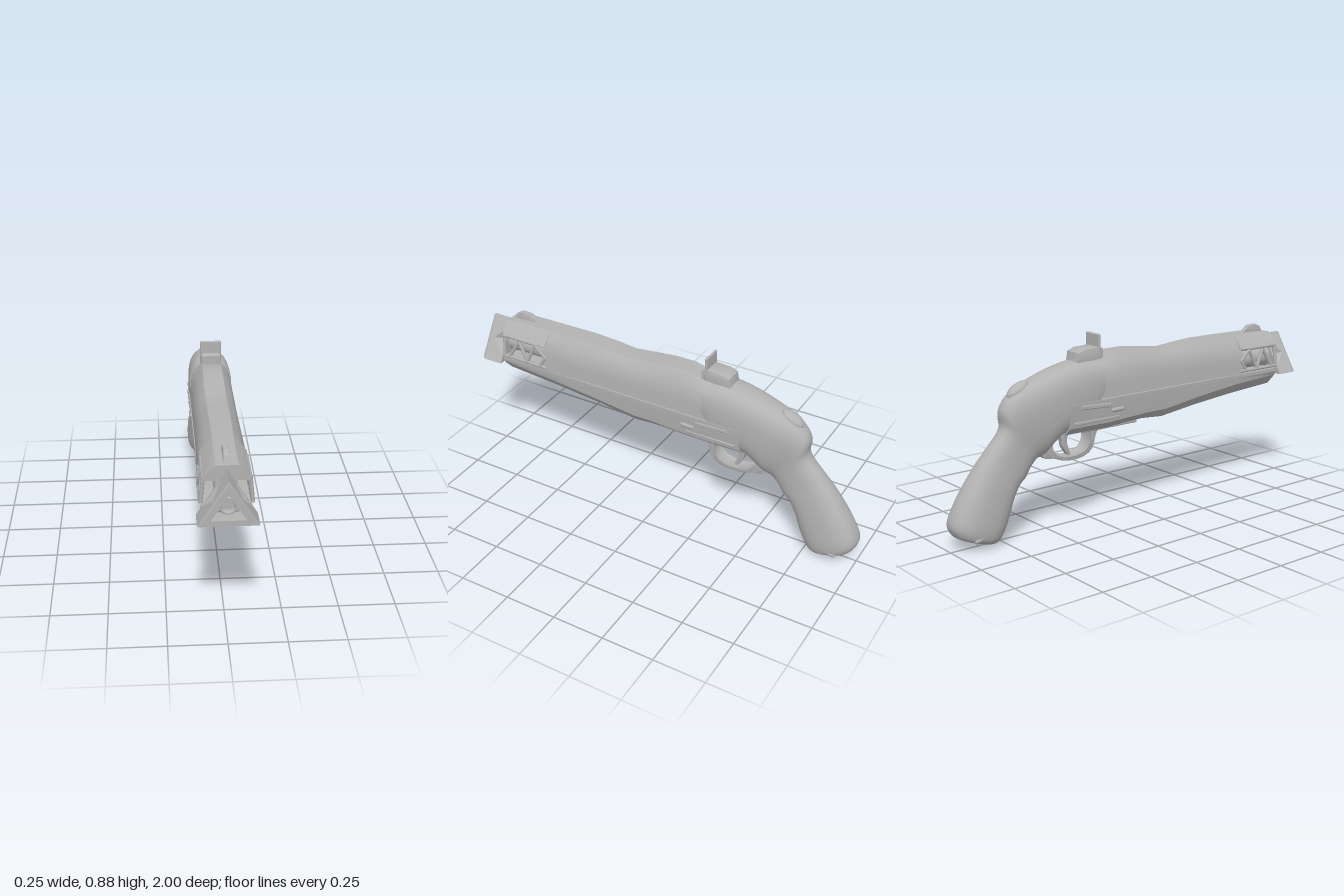
import * as THREE from 'three';
import { toCreasedNormals } from 'three/addons/utils/BufferGeometryUtils.js';
import { RoundedBoxGeometry } from 'three/addons/geometries/RoundedBoxGeometry.js';

const V = (x, y, z) => new THREE.Vector3(x, y, z);

// skins equal-length rings that run from front to back, each counter-clockwise seen from +z
function loft(rings, crease = 0.5) {
  const n = rings[0].length, pos = [], idx = [];
  rings.forEach(r => r.forEach(p => pos.push(p.x, p.y, p.z)));
  for (let i = 0; i < rings.length - 1; i++) {
    for (let j = 0; j < n; j++) {
      const a = i * n + j, b = i * n + (j + 1) % n, c = a + n, d = b + n;
      idx.push(a, c, b, b, c, d);
    }
  }
  [0, rings.length - 1].forEach((i, back) => {
    const m = rings[i].reduce((s, p) => s.add(p), V(0, 0, 0)).divideScalar(n);
    const k = pos.length / 3;
    pos.push(m.x, m.y, m.z);
    for (let j = 0; j < n; j++) {
      const a = i * n + j, b = i * n + (j + 1) % n;
      idx.push(k, back ? b : a, back ? a : b);
    }
  });
  const g = new THREE.BufferGeometry();
  g.setAttribute('position', new THREE.Float32BufferAttribute(pos, 3));
  g.setIndex(idx);
  return toCreasedNormals(g, crease);
}

// symmetric ring at depth z from right-half points listed bottom to top
const mirrorRing = (z, half) => [
  ...half.map(([x, y]) => V(x, y, z)),
  ...half.slice().reverse().map(([x, y]) => V(-x, y, z)),
];

// side outline in (z, y), extruded across x
function sideExtrude(pts, width, hole, bevel = 0.004, smooth = true) {
  const toVecs = a => {
    const v = a.map(p => new THREE.Vector2(...p));
    return smooth ? new THREE.SplineCurve([...v, v[0]]).getPoints(48).slice(0, -1) : v;
  };
  const s = new THREE.Shape(toVecs(pts));
  if (hole) s.holes.push(new THREE.Path(toVecs(hole)));
  const depth = width - 2 * bevel;
  const g = new THREE.ExtrudeGeometry(s, { depth, bevelSize: bevel, bevelThickness: bevel, bevelSegments: 2 });
  return toCreasedNormals(g.translate(0, 0, -depth / 2).rotateY(-Math.PI / 2), 0.6);
}

// straight round bar between two points
function bar(a, b, r) {
  return new THREE.TubeGeometry(new THREE.LineCurve3(a, b), 1, r, 8);
}

// triangular muzzle frame with a pit sunk into each upper side
function muzzleFrame() {
  const out = [[-0.125, 0.557], [0.125, 0.557], [0, 0.755]];
  const inn = [[-0.072, 0.587], [0.072, 0.587], [0, 0.7]];
  const pos = [];
  const tri = (...p) => p.forEach(q => pos.push(q.x, q.y, q.z));
  const quad = (a, b, c, d) => { tri(a, b, c); tri(a, c, d); };
  const at = ([x, y], z) => V(x, y, z);
  const f = 1, b = 0.888, rim = 0.988;
  for (let i = 0; i < 3; i++) {
    const k = (i + 1) % 3, A = out[i], B = out[k], C = inn[i], D = inn[k];
    const mix = (P, Q) => [P[0] * 0.82 + Q[0] * 0.18, P[1] * 0.82 + Q[1] * 0.18];
    const M = mix(A, C), N = mix(B, D);
    quad(at(A, rim), at(B, rim), at(N, f), at(M, f));
    quad(at(M, f), at(N, f), at(D, f), at(C, f));
    quad(at(C, f), at(D, f), at(D, 0.905), at(C, 0.905));
    quad(at(B, b), at(A, b), at(C, b), at(D, b));
    const a1 = at(A, rim), b1 = at(B, rim), a0 = at(A, b), b0 = at(B, b);
    if (i === 0) { quad(a1, a0, b0, b1); continue; }
    const top = a1.clone().lerp(b1, 0.5).setZ(0.962);
    const p = a0.clone().lerp(b0, 0.22).setZ(0.9), q = a0.clone().lerp(b0, 0.78).setZ(0.9);
    const pit = p.clone().lerp(q, 0.5).lerp(V(0, 0.633, 0.92), 0.5).setZ(0.92);
    tri(a1, a0, p); tri(a1, p, top); tri(a1, top, b1);
    tri(b1, top, q); tri(b1, q, b0); quad(a0, b0, q, p);
    tri(p, pit, top); tri(top, pit, q); tri(q, pit, p);
  }
  // closing wall inside the frame
  tri(...inn.map(p => at(p, 0.905)));
  tri(...inn.slice().reverse().map(p => at(p, b)));
  const g = new THREE.BufferGeometry();
  g.setAttribute('position', new THREE.Float32BufferAttribute(pos, 3));
  g.computeVertexNormals();
  return g;
}

export function createModel() {
  const model = new THREE.Group();
  const metal = new THREE.MeshStandardMaterial({ color: 0xb2b2b2, side: THREE.DoubleSide });
  metal.name = 'plain grey';
  const add = (name, geometry, x = 0, y = 0, z = 0) => {
    const m = new THREE.Mesh(geometry, metal);
    m.name = name;
    m.position.set(x, y, z);
    model.add(m);
    return m;
  };

  // upper shell: z, top y, top half-width, shoulder half-width, bottom half-width
  const shell = [
    [0.64, 0.778, 0.045, 0.098, 0.108], [0.42, 0.779, 0.047, 0.095, 0.102],
    [0.3, 0.772, 0.047, 0.093, 0.1], [0.2, 0.762, 0.046, 0.092, 0.1],
    [0.08, 0.776, 0.047, 0.092, 0.1], [-0.02, 0.788, 0.045, 0.092, 0.1],
    [-0.12, 0.788, 0.045, 0.092, 0.1], [-0.2, 0.768, 0.045, 0.093, 0.1], [-0.3, 0.76, 0.04, 0.09, 0.097],
  ];
  add('upperShell', loft(shell.map(([z, t, tw, sw, bw]) =>
    mirrorRing(z, [[bw, 0.592], [(sw + bw) / 2, 0.65], [sw, 0.7], [0.072, (t + 0.703) / 2 + 0.005], [tw, t]])), 0.6));
  // cover over the vented front
  add('frontCover', loft([[0.88, 0.77], [0.78, 0.776], [0.63, 0.778]].map(([z, t]) =>
    mirrorRing(z, [[0.09, 0.703], [0.1, 0.712], [0.072, 0.75], [0.045, t]]))));

  // lower fore-end: z, bottom y, bottom half-width, shoulder y, shoulder half-width
  const lower = [
    [0.88, 0.5, 0.045, 0.553, 0.095], [0.6, 0.487, 0.055, 0.54, 0.1], [0.35, 0.467, 0.06, 0.515, 0.1],
    [0.14, 0.443, 0.062, 0.485, 0.095], [0.02, 0.452, 0.06, 0.485, 0.095],
    [-0.2, 0.44, 0.055, 0.475, 0.095], [-0.42, 0.44, 0.05, 0.475, 0.09],
  ];
  add('foreEnd', loft(lower.map(([z, y, w, sy, sw]) =>
    mirrorRing(z, [[w, y], [sw, sy], [0.104, 0.572], [0.104, 0.589]])), 0.4));
  add('lowerPlate', new RoundedBoxGeometry(0.1, 0.02, 0.32, 2, 0.006), 0, 0.443, -0.16);

  // receiver flowing into the grip: upper edge z, y, lower edge z, y, half-width
  const body = [
    [-0.225, 0.762, -0.225, 0.56, 0.1], [-0.28, 0.768, -0.27, 0.5, 0.102], [-0.35, 0.765, -0.34, 0.46, 0.102],
    [-0.45, 0.745, -0.43, 0.44, 0.1], [-0.55, 0.715, -0.47, 0.41, 0.095], [-0.64, 0.68, -0.505, 0.375, 0.086],
    [-0.7, 0.635, -0.53, 0.358, 0.074], [-0.727, 0.585, -0.555, 0.35, 0.066], [-0.725, 0.515, -0.59, 0.316, 0.061],
    [-0.796, 0.43, -0.617, 0.275, 0.063], [-0.85, 0.37, -0.65, 0.247, 0.07], [-0.91, 0.29, -0.688, 0.185, 0.08],
    [-0.965, 0.205, -0.714, 0.115, 0.087], [-0.999, 0.12, -0.74, 0.06, 0.09], [-0.98, 0.073, -0.764, 0.024, 0.083],
    [-0.95, 0.054, -0.78, 0.01, 0.066], [-0.89, 0.032, -0.81, 0.003, 0.035],
  ];
  const upperEdge = new THREE.CatmullRomCurve3(body.map(b => V(0, b[1], b[0])));
  const lowerEdge = new THREE.CatmullRomCurve3(body.map(b => V(b[4], b[3], b[2])));
  const bodyRings = [], steps = 64, sides = 32;
  for (let i = 0; i <= steps; i++) {
    const t = upperEdge.getPoint(i / steps), l = lowerEdge.getPoint(i / steps), w = l.x;
    l.x = 0;
    const e = 2 / (2.9 - 0.5 * i / steps);
    bodyRings.push(Array.from({ length: sides }, (_, j) => {
      const a = j / sides * Math.PI * 2, c = Math.cos(a), s = Math.sin(a);
      const p = l.clone().lerp(t, 0.5 + 0.5 * Math.sign(s) * Math.abs(s) ** e);
      p.x = w * Math.sign(c) * Math.abs(c) ** e;
      return p;
    }));
  }
  add('receiverAndGrip', loft(bodyRings, 0.8));
  const hammer = add('hammerSpur', new THREE.SphereGeometry(1, 20, 12), 0, 0.675, -0.635);
  hammer.scale.set(0.035, 0.025, 0.06);
  hammer.rotation.x = -0.5;

  // trigger guard and trigger
  add('triggerGuard', sideExtrude(
    [[-0.2, 0.455], [-0.235, 0.42], [-0.26, 0.35], [-0.32, 0.319], [-0.4, 0.318], [-0.47, 0.34], [-0.53, 0.36], [-0.5, 0.45], [-0.35, 0.465]],
    0.075,
    [[-0.265, 0.435], [-0.268, 0.385], [-0.29, 0.35], [-0.335, 0.332], [-0.4, 0.331], [-0.455, 0.35], [-0.478, 0.39], [-0.465, 0.435], [-0.36, 0.447]]));
  add('trigger', sideExtrude(
    [[-0.37, 0.45], [-0.388, 0.4], [-0.37, 0.343], [-0.378, 0.339], [-0.402, 0.375], [-0.41, 0.41], [-0.425, 0.45]], 0.03));

  // sights
  add('rearSight', sideExtrude(
    [[-0.2, 0.75], [-0.2, 0.808], [-0.216, 0.815], [-0.3, 0.812], [-0.33, 0.8], [-0.34, 0.75]], 0.09, null, 0.006, false));
  add('rearSightBlade', new RoundedBoxGeometry(0.1, 0.11, 0.012, 3, 0.006), 0, 0.825, -0.219);
  add('frontSight', sideExtrude(
    [[0.86, 0.765], [0.845, 0.795], [0.82, 0.808], [0.77, 0.806], [0.72, 0.77]], 0.025, null, 0.003, false));

  // barrel core and muzzle ring
  add('barrelCore', new THREE.CylinderGeometry(0.05, 0.05, 0.5, 24).rotateX(Math.PI / 2), 0, 0.64, 0.64);
  const ring = [[0.026, 0], [0.026, 0.06], [0.03, 0.066], [0.036, 0.066], [0.04, 0.06], [0.04, 0]];
  add('muzzleRing', toCreasedNormals(new THREE.LatheGeometry(
    ring.slice().reverse().map(p => new THREE.Vector2(...p)), 28).rotateX(Math.PI / 2), 0.6), 0, 0.633, 0.9);
  add('boreFloor', new THREE.CircleGeometry(0.027, 24), 0, 0.633, 0.945);
  add('muzzleFrame', muzzleFrame());
  for (let i = 0; i < 3; i++) {
    const a = Math.PI / 2 + i * Math.PI * 2 / 3;
    add('ringLug', new THREE.SphereGeometry(0.011, 12, 8), 0.043 * Math.cos(a), 0.633 + 0.043 * Math.sin(a), 0.95);
  }
  add('frontNeck', new THREE.CylinderGeometry(0.045, 0.045, 0.06, 20).rotateX(Math.PI / 2), 0, 0.63, 0.88);

  // vent lattice, side rails and buttons, mirrored
  const lattice = [
    [0.87, 0.604, 0.87, 0.71], [0.875, 0.604, 0.62, 0.604], [0.875, 0.71, 0.68, 0.71], [0.84, 0.608, 0.785, 0.7],
    [0.785, 0.7, 0.735, 0.608], [0.735, 0.608, 0.69, 0.705], [0.69, 0.705, 0.63, 0.655], [0.63, 0.655, 0.66, 0.606],
  ];
  for (const s of [1, -1]) {
    const on = (z, y) => V(s * (0.106 - (y - 0.6) * 0.1), y, z);
    lattice.forEach(([z1, y1, z2, y2]) => add('ventBar', bar(on(z1, y1), on(z2, y2), 0.0085)));
    const rail = add('sideRail', new RoundedBoxGeometry(0.016, 0.022, 0.17, 2, 0.006), s * 0.099, 0.563, -0.28);
    rail.rotation.x = 0.06;
    add('sideButton', new THREE.CapsuleGeometry(0.011, 0.05, 6, 12).rotateX(Math.PI / 2), s * 0.098, 0.53, -0.155);
    add('lowerRail', new RoundedBoxGeometry(0.014, 0.016, 0.26, 2, 0.005), s * 0.092, 0.495, -0.27);
    const pin = add('gripRivet', new THREE.CapsuleGeometry(0.014, 0.05, 6, 12).rotateX(Math.PI / 2), s * 0.074, 0.065, -0.885);
    pin.rotation.x = -0.3;
  }
  return model;
}
